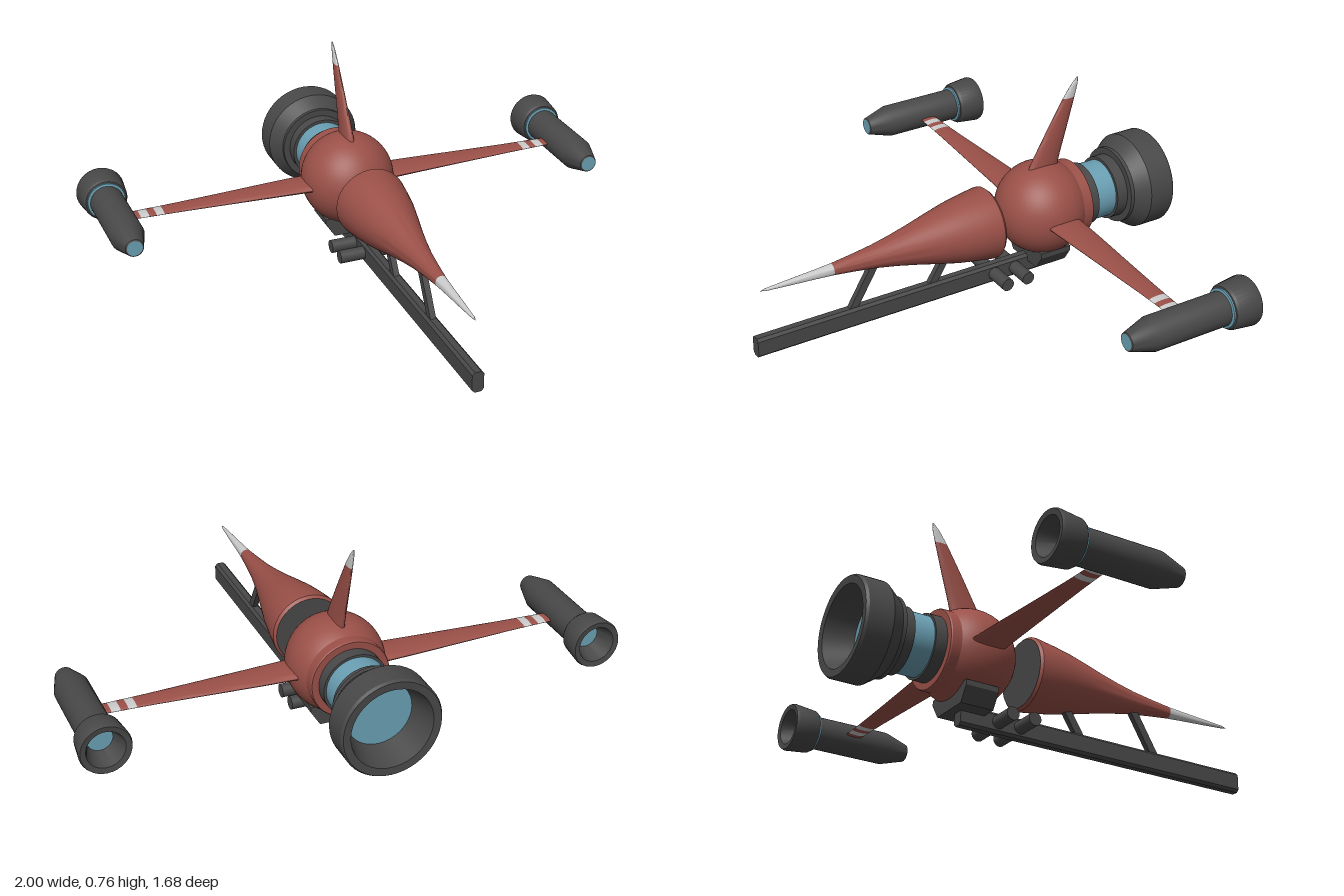
import * as THREE from 'three';
import { toCreasedNormals } from 'three/addons/utils/BufferGeometryUtils.js';

const material = (color) => new THREE.MeshStandardMaterial({ color });
const RED = material(0x9a5048), DARK = material(0x484848), BLUE = material(0x6a9fb3), GREY = material(0xcccccc);
const AXIS = 0.265;

function add(parent, name, geometry, mat, x = 0, y = 0, z = 0) {
  const mesh = new THREE.Mesh(geometry, mat);
  mesh.name = name;
  mesh.position.set(x, y, z);
  parent.add(mesh);
  return mesh;
}

// Turned solid along z; the profile is [radius, z], running from back to front.
function turned(profile, segments = 48) {
  const pts = profile.map(([r, z]) => new THREE.Vector2(r, z));
  return toCreasedNormals(new THREE.LatheGeometry(pts, segments).rotateX(Math.PI / 2), 0.5);
}

// Blade along y with oval sections; stations are [span, leading z, trailing z, half thickness].
function blade(stations, from, to) {
  const at = (s) => {
    let i = 0;
    while (i < stations.length - 2 && s > stations[i + 1][0]) i++;
    const a = stations[i], b = stations[i + 1], t = (s - a[0]) / (b[0] - a[0]);
    return a.map((v, k) => v + (b[k] - v) * t);
  };
  const g = new THREE.CylinderGeometry(1, 1, 1, 24, 10);
  const p = g.attributes.position;
  for (let i = 0; i < p.count; i++) {
    const [s, lead, trail, thick] = at(from + (p.getY(i) + 0.5) * (to - from));
    p.setXYZ(i, p.getX(i) * thick, s, (lead + trail) / 2 + p.getZ(i) * (lead - trail) / 2);
  }
  return toCreasedNormals(g, 0.9);
}

function addBody(model) {
  const body = new THREE.Group();
  body.name = 'body';
  body.position.y = AXIS;
  model.add(body);

  // Long nose, separate from the round hull
  add(body, 'noseCone', turned([[0.128, -0.122], [0.137, -0.112], [0.137, -0.1], [0.127, -0.03], [0.115, 0.04],
    [0.096, 0.12], [0.076, 0.2], [0.058, 0.28], [0.043, 0.36], [0.031, 0.45], [0.022, 0.53]]), RED);
  add(body, 'noseBack', turned([[0, -0.12], [0.129, -0.12]]), DARK);
  add(body, 'noseTip', turned([[0.022, 0.53], [0.017, 0.6], [0.011, 0.7], [0.005, 0.79], [0, 0.81]]), GREY);

  // Round hull and rear collar
  add(body, 'hull', new THREE.SphereGeometry(0.178, 48, 32), RED, 0, 0, -0.355);
  add(body, 'collar', turned([[0, -0.495], [0.145, -0.495], [0.148, -0.49], [0.148, -0.44]]), RED);

  // Main engine
  add(body, 'engineFrontRing', turned([[0, -0.54], [0.12, -0.54], [0.12, -0.49]]), DARK);
  add(body, 'engineGlowBand', turned([[0.111, -0.63], [0.111, -0.53]]), BLUE);
  add(body, 'engineRearRing', turned([[0.122, -0.68], [0.122, -0.622], [0, -0.622]]), DARK);
  add(body, 'mainNozzle', turned([[0.12, -0.73], [0.15, -0.838], [0.178, -0.84], [0.184, -0.83], [0.184, -0.735],
    [0.147, -0.682], [0.147, -0.667], [0, -0.667]]), DARK);
  add(body, 'mainExhaust', turned([[0, -0.73], [0.122, -0.73]]), BLUE);
}

function addWing(model, side) {
  const name = side > 0 ? 'left' : 'right';
  const wing = new THREE.Group();
  wing.name = name + 'Wing';
  wing.position.y = AXIS - 0.003;
  model.add(wing);
  const stations = [[0.13, -0.285, -0.423, 0.019], [0.3, -0.295, -0.415, 0.015],
    [0.5, -0.306, -0.402, 0.011], [0.7, -0.317, -0.39, 0.007], [0.86, -0.322, -0.385, 0.005]];
  // Alternating red panels and pale stripes
  [0.13, 0.735, 0.765, 0.792, 0.824, 0.86].forEach((end, i, ends) => {
    if (i === 0) return;
    const stripe = i % 2 === 0;
    add(wing, stripe ? 'wingStripe' : 'wingPanel',
      blade(stations, ends[i - 1], end).rotateZ(-side * Math.PI / 2), stripe ? GREY : RED);
  });

  // Wingtip engine pod
  const pod = new THREE.Group();
  pod.name = name + 'Pod';
  pod.position.set(side * 0.908, AXIS, 0);
  model.add(pod);
  add(pod, 'podShell', turned([[0.045, -0.53], [0.068, -0.603], [0.088, -0.606], [0.092, -0.595], [0.083, -0.512],
    [0.077, -0.503], [0.063, -0.498], [0.063, -0.195], [0.034, -0.1], [0.028, -0.097]], 32), DARK);
  add(pod, 'podExhaust', turned([[0, -0.53], [0.046, -0.53]], 32), BLUE);
  add(pod, 'podIntake', turned([[0.029, -0.097], [0, -0.097]], 32), BLUE);
  add(pod, 'podRing', turned([[0.072, -0.503], [0.072, -0.495], [0.063, -0.493]], 32), BLUE);
}

function addFin(model) {
  const stations = [[0.38, -0.275, -0.415, 0.022], [0.45, -0.303, -0.425, 0.019], [0.58, -0.375, -0.461, 0.013],
    [0.69, -0.439, -0.49, 0.008], [0.74, -0.473, -0.502, 0.005], [0.765, -0.497, -0.503, 0.002]];
  add(model, 'fin', blade(stations, 0.38, 0.69), RED);
  add(model, 'finTip', blade(stations, 0.69, 0.765), GREY);
}

function addSkid(model) {
  const skid = new THREE.Group();
  skid.name = 'skid';
  model.add(skid);

  // Chamfered rail, extruded along z
  const w = 0.022, c = 0.01, h = 0.078;
  const outline = [[-w + c, 0], [w - c, 0], [w, c], [w, h - c], [w - c, h], [-w + c, h], [-w, h - c], [-w, c]];
  const section = new THREE.Shape(outline.map(([x, y]) => new THREE.Vector2(x, y + 0.004)));
  add(skid, 'rail', new THREE.ExtrudeGeometry(section, { depth: 1.22, bevelEnabled: false }), DARK, 0, 0, -0.38);

  // Slanted struts up to the nose
  for (const [z0, z1, y1] of [[0.465, 0.36, 0.24], [0.135, 0.04, 0.215]]) {
    const dy = y1 - 0.06;
    const strut = add(skid, 'strut', new THREE.BoxGeometry(0.022, Math.hypot(dy, z1 - z0), 0.03), DARK,
      0, 0.06 + dy / 2, (z0 + z1) / 2);
    strut.rotation.x = Math.atan2(z1 - z0, dy);
  }

  // Cross tubes
  for (const z of [-0.137, -0.227]) {
    add(skid, 'crossTube', new THREE.CylinderGeometry(0.025, 0.025, 0.238, 24).rotateZ(Math.PI / 2), DARK, 0, 0.045, z);
  }

  // Tapered mount under the hull
  const mount = new THREE.Shape([[-0.08, 0.055], [0.08, 0.055], [0.115, 0.11], [0.115, 0.13], [-0.115, 0.13],
    [-0.115, 0.11]].map(([x, y]) => new THREE.Vector2(x, y)));
  add(skid, 'hullMount', new THREE.ExtrudeGeometry(mount, { depth: 0.13, bevelEnabled: false }), DARK, 0, 0, -0.415);
}

export function createModel() {
  const model = new THREE.Group();
  model.name = 'rocketRacer';
  addBody(model);
  for (const side of [1, -1]) addWing(model, side);
  addFin(model);
  addSkid(model);
  return model;
}
